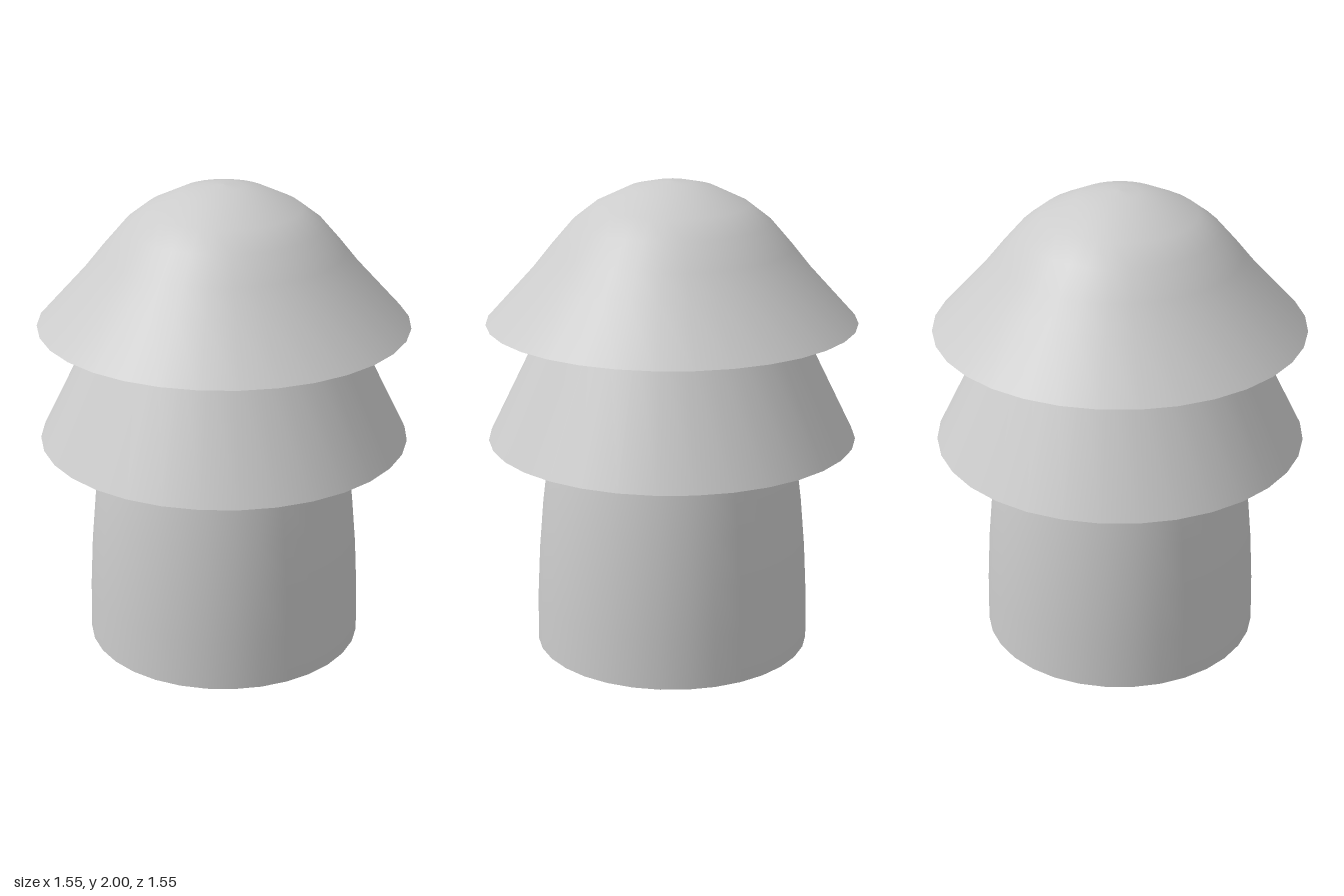
import * as THREE from 'three';

const SIDES = 32;

export function createModel() {
  const model = new THREE.Group();
  const material = new THREE.MeshStandardMaterial({ color: 0xcccccc, side: THREE.DoubleSide });

  // Thin open shell turned around y from [radius, height] points, bottom to top
  function shell(name, profile) {
    const points = profile.map(([r, y]) => new THREE.Vector2(r, y));
    const mesh = new THREE.Mesh(new THREE.LatheGeometry(points, SIDES), material);
    mesh.name = name;
    model.add(mesh);
  }

  // Bullet-shaped body, open at the base, with an elliptical taper
  const body = [];
  for (let i = 0; i <= 14; i++) {
    const a = (i / 14) * Math.PI / 2;
    body.push([0.585 * Math.cos(a), 1.93 * Math.sin(a)]);
  }
  shell('body', body);

  // Conical middle skirt, running up under the cap
  shell('middleSkirt', [[0.775, 0.915], [0.53, 1.415], [0.305, 1.875]]);

  // Domed cap flaring out to a wide brim
  shell('cap', [
    [0.775, 1.415], [0.58, 1.63], [0.5, 1.73], [0.41, 1.835],
    [0.32, 1.905], [0.18, 1.972], [0.08, 1.995], [0, 2],
  ]);

  return model;
}
